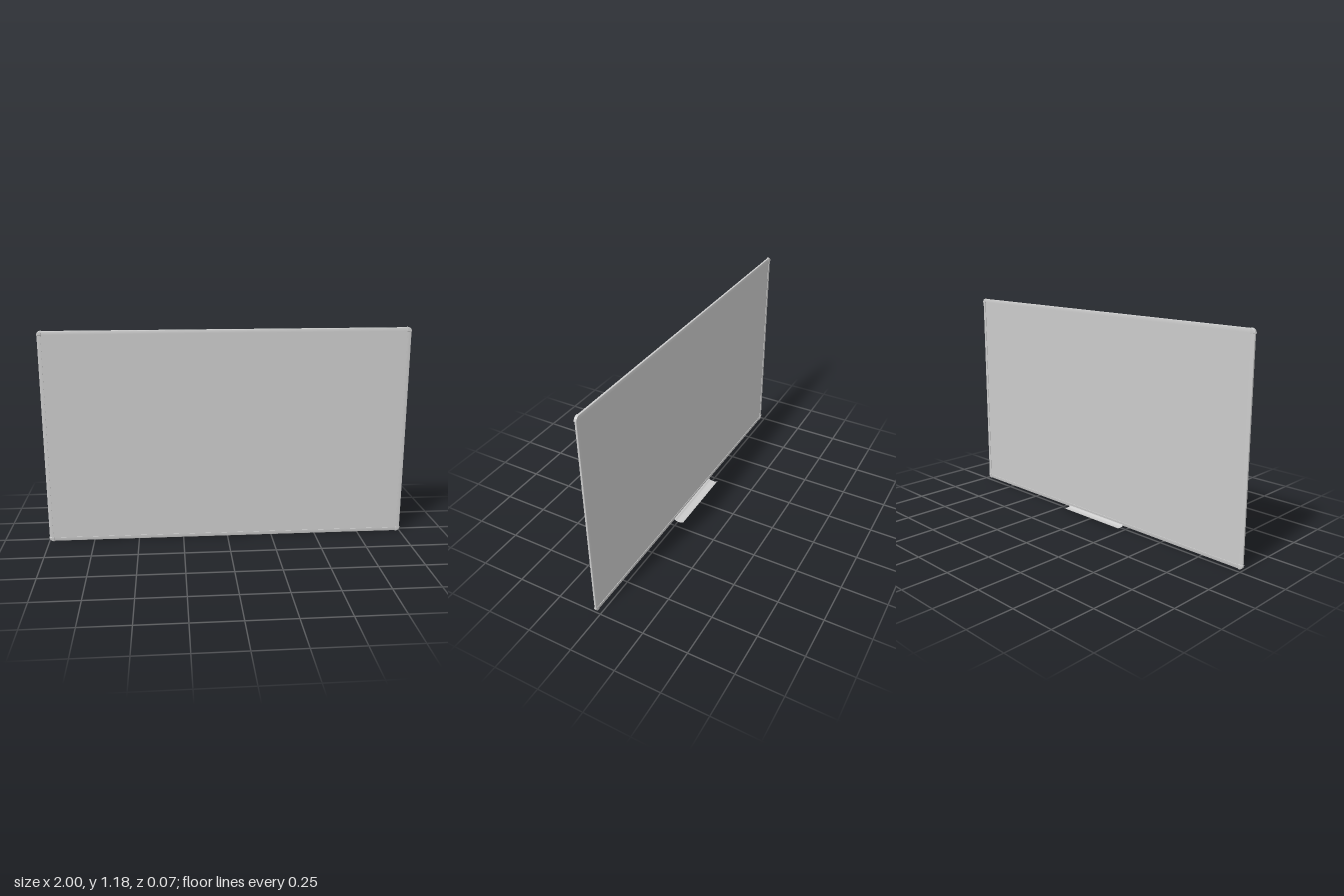
import * as THREE from 'three';
import { toCreasedNormals } from 'three/addons/utils/BufferGeometryUtils.js';

const W = 2, H = 1.18, Z = 0.03;      // outer size and centre plane of the board
const RAIL = 0.02, CORNER = 0.026;    // frame rail width and corner cap size

export function createModel() {
  const group = new THREE.Group();
  const grey = new THREE.MeshStandardMaterial({ color: 0xcccccc });
  const thin = new THREE.MeshStandardMaterial({ color: 0xcccccc, side: THREE.DoubleSide });

  const add = (name, geometry, material = grey) => {
    const mesh = new THREE.Mesh(geometry, material);
    mesh.name = name;
    group.add(mesh);
    return mesh;
  };

  // Writing surface, slightly recessed between the rails on both sides
  add('panel', new THREE.BoxGeometry(W - 0.02, H - 0.02, 0.006)).position.set(0, H / 2, Z);

  // Rail section: flat towards the panel, softly rounded on the outside
  const railGeometry = (length) => {
    const t = 0.0055, r = 0.003;
    const s = new THREE.Shape();
    s.moveTo(0, -t);
    s.lineTo(RAIL - r, -t);
    s.quadraticCurveTo(RAIL, -t, RAIL, -t + r);
    s.lineTo(RAIL, t - r);
    s.quadraticCurveTo(RAIL, t, RAIL - r, t);
    s.lineTo(0, t);
    const g = new THREE.ExtrudeGeometry(s, { depth: length, bevelEnabled: false, curveSegments: 5 });
    g.translate(-RAIL, 0, -length / 2);
    g.rotateX(-Math.PI / 2); // length along y, outer edge at +x
    return toCreasedNormals(g, 0.6);
  };

  // Four rails, each turned so that its rounded edge faces outwards
  const inset = 0.002;
  const rails = [
    ['leftRail', W / 2 - inset, H / 2, 0, H],
    ['topRail', 0, H - inset, Math.PI / 2, W],
    ['rightRail', -W / 2 + inset, H / 2, Math.PI, H],
    ['bottomRail', 0, inset, -Math.PI / 2, W],
  ];
  for (const [name, x, y, angle, side] of rails) {
    const rail = add(name, railGeometry(side - 2 * CORNER + 0.004));
    rail.position.set(x, y, Z);
    rail.rotation.z = angle;
  }

  // Rounded corner caps, a little thicker than the rails
  const b = 0.0015, c = CORNER - b;
  const capShape = new THREE.Shape();
  capShape.moveTo(b, b);
  capShape.lineTo(c, b);
  capShape.absarc(b, b, c - b, 0, Math.PI / 2, false);
  capShape.lineTo(b, b);
  const cap = new THREE.ExtrudeGeometry(capShape, {
    depth: 0.011, bevelThickness: b, bevelSize: b, bevelSegments: 3, curveSegments: 12,
  });
  cap.translate(-CORNER, -CORNER, -0.0055);
  const capGeometry = toCreasedNormals(cap, 0.6);
  const corners = [['topLeft', 1, H, 0], ['topRight', -1, H, 1], ['bottomRight', -1, 0, 2], ['bottomLeft', 1, 0, 3]];
  for (const [name, sx, y, turn] of corners) {
    const mesh = add(name + 'Corner', capGeometry);
    mesh.position.set(sx * W / 2, y, Z);
    mesh.rotation.z = turn * Math.PI / 2;
  }

  // Pen tray: a thin curved sheet behind the bottom rail
  const curve = new THREE.CatmullRomCurve3([
    [0.026, 0.010], [0.018, 0.009], [0.010, 0.004], [-0.004, 0.002],
    [-0.020, 0.003], [-0.030, 0.007], [-0.037, 0.012],
  ].map(([z, y]) => new THREE.Vector3(0, y, z)));
  const trayWidth = 0.43, steps = 24;
  const tray = new THREE.PlaneGeometry(trayWidth, 1, 1, steps);
  const pos = tray.attributes.position;
  for (let i = 0; i < pos.count; i++) {
    const p = curve.getPoint(pos.getY(i) + 0.5);
    pos.setXYZ(i, pos.getX(i), p.y, p.z);
  }
  // Rows run from back to front, so reverse the faces to point the sheet up
  tray.index.array.reverse();
  tray.computeVertexNormals();
  add('penTray', tray, thin);

  return group;
}
